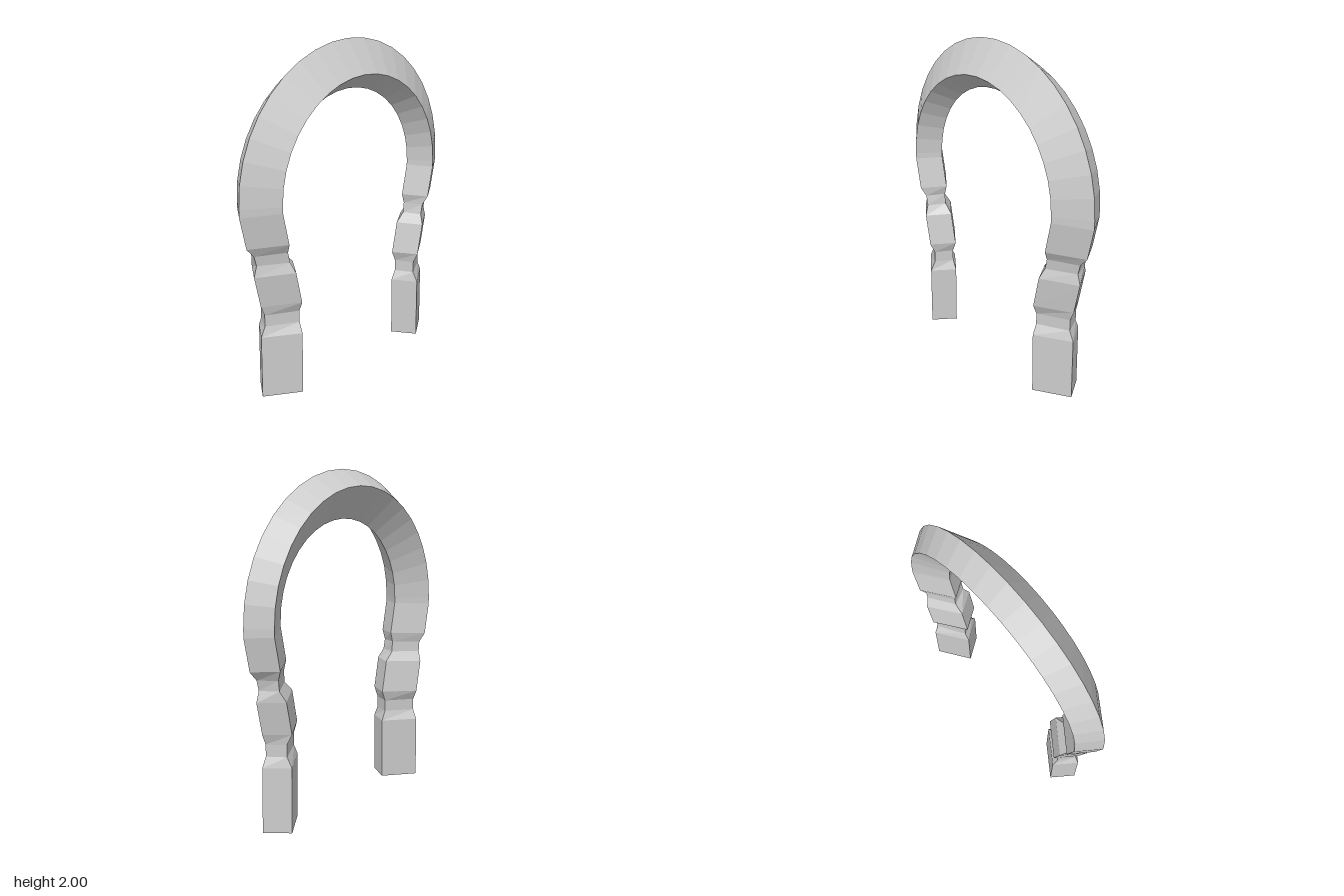
import * as THREE from 'three';

// Leg stations, foot to shoulder: outer x, outer y, inner x, inner y, half depth, front ridge fraction
const LEG = [
  [0.705, 0.0, 0.415, 0.01, 0.135, 0.67],
  [0.70, 0.38, 0.41, 0.39, 0.135, 0.67],
  [0.67, 0.44, 0.44, 0.45, 0.105, 0.74],
  [0.67, 0.51, 0.44, 0.52, 0.105, 0.74],
  [0.695, 0.57, 0.41, 0.585, 0.135, 0.67],
  [0.735, 0.76, 0.45, 0.78, 0.135, 0.67],
  [0.715, 0.825, 0.51, 0.835, 0.105, 0.75],
  [0.73, 0.885, 0.515, 0.9, 0.105, 0.72],
  [0.78, 0.94, 0.495, 0.96, 0.135, 0.67],
  [0.82, 1.13, 0.535, 1.15, 0.135, 0.67],
];
const ARC = { y: 1.18, outer: 0.82, inner: 0.535, steps: 10 };

// Four corners of the slanted section: outer, front, inner, back
function section([xo, yo, xi, yi, depth, f], side) {
  const at = (t, z) => [side * (xo + (xi - xo) * t), yo + (yi - yo) * t, z];
  return [at(0, 0), at(f, depth), at(1, 0), at(1 - f, -depth)];
}

export function createModel() {
  // Half of the hoop, from foot to crown
  const half = [...LEG];
  for (let i = 0; i <= ARC.steps; i++) {
    const a = (i / ARC.steps) * Math.PI / 2;
    const c = Math.cos(a), s = Math.sin(a);
    half.push([ARC.outer * c, ARC.y + ARC.outer * s, ARC.inner * c, ARC.y + ARC.inner * s, 0.135, 0.67]);
  }

  // Mirror it down to the other foot
  const rings = [
    ...half.map((p) => section(p, 1)),
    ...half.slice(0, -1).reverse().map((p) => section(p, -1)),
  ];

  // Skin the sections and close both feet
  const index = [];
  const last = (rings.length - 1) * 4;
  for (let i = 0; i < last; i += 4) {
    for (let j = 0; j < 4; j++) {
      const a = i + j, b = i + (j + 1) % 4;
      index.push(a, a + 4, b, b, a + 4, b + 4);
    }
  }
  index.push(0, 1, 2, 0, 2, 3);
  index.push(last, last + 2, last + 1, last, last + 3, last + 2);

  const indexed = new THREE.BufferGeometry();
  indexed.setAttribute('position', new THREE.Float32BufferAttribute(rings.flat(2), 3));
  indexed.setIndex(index);
  const geometry = indexed.toNonIndexed();
  geometry.computeVertexNormals();

  const hoop = new THREE.Mesh(
    geometry,
    new THREE.MeshStandardMaterial({ color: 0xcccccc, flatShading: true })
  );
  hoop.name = 'hoop';

  const model = new THREE.Group();
  model.name = 'notchedArch';
  model.add(hoop);
  return model;
}
